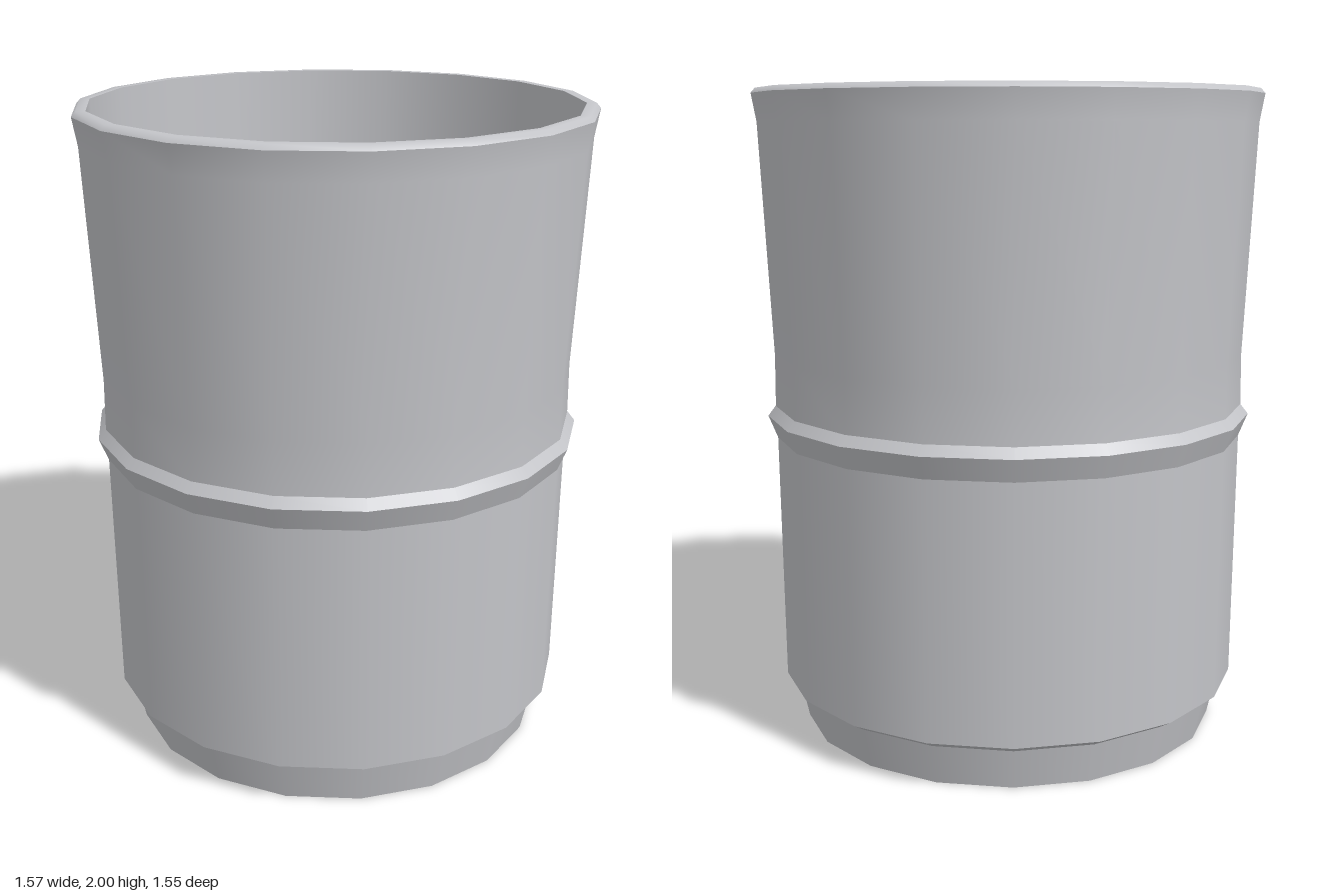
import * as THREE from 'three';
import { mergeGeometries } from 'three/addons/utils/BufferGeometryUtils.js';

const SIDES = 18;

// Each strip is smooth in itself; the joints between strips stay sharp.
function turned(name, strips, material) {
  const parts = strips.map((strip) => new THREE.LatheGeometry(
    strip.map(([r, y]) => new THREE.Vector2(r, y)), SIDES, Math.PI / SIDES));
  const mesh = new THREE.Mesh(mergeGeometries(parts), material);
  mesh.name = name;
  return mesh;
}

export function createModel() {
  const group = new THREE.Group();
  group.name = 'cup';
  const grey = new THREE.MeshStandardMaterial({ color: 0xc4c5c9 });
  grey.name = 'light grey';

  // Tapered foot and the step above it
  group.add(turned('foot', [
    [[0, 0], [0.66, 0]],
    [[0.66, 0], [0.687, 0.125]],
    [[0.687, 0.125], [0.727, 0.15]],
  ], grey));

  // Lower wall, raised band and flared upper wall
  group.add(turned('outerWall', [
    [[0.727, 0.15], [0.735, 0.93]],
    [[0.735, 0.93], [0.763, 1.0]],
    [[0.763, 1.0], [0.739, 1.03]],
    [[0.739, 1.03], [0.737, 1.19], [0.77, 1.9], [0.785, 1.985]],
  ], grey));

  // Rim and thin inner wall
  group.add(turned('rim', [[[0.785, 1.985], [0.772, 2], [0.743, 2]]], grey));
  group.add(turned('innerWall', [[[0.743, 2], [0.73, 1.08]]], grey));

  // Raised inner floor with a bevelled edge
  group.add(turned('innerFloor', [
    [[0.73, 1.08], [0.657, 1.2]],
    [[0.657, 1.2], [0, 1.2]],
  ], grey));

  // Leaning six-sided stick
  const foot = new THREE.Vector3(0, 1.18, 0.538);
  const tip = new THREE.Vector3(0, 1.92, 0.44);
  const stickShape = new THREE.CylinderGeometry(0.04, 0.04, foot.distanceTo(tip), 6).toNonIndexed();
  stickShape.computeVertexNormals();
  const stick = new THREE.Mesh(stickShape, grey);
  stick.name = 'stick';
  stick.position.copy(foot).add(tip).multiplyScalar(0.5);
  stick.rotation.x = Math.atan2(tip.z - foot.z, tip.y - foot.y);
  group.add(stick);

  return group;
}
